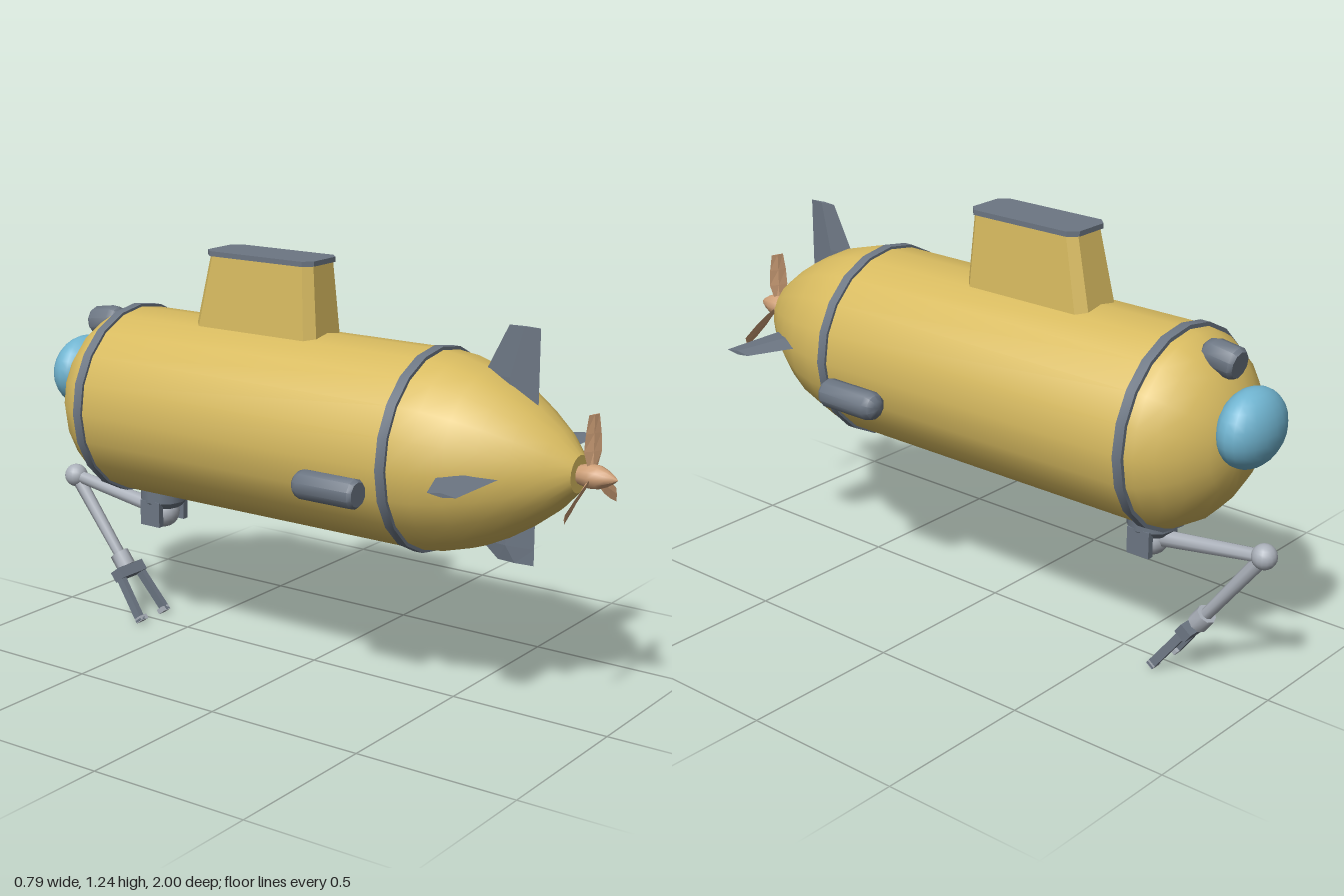
import * as THREE from 'three';
import { toCreasedNormals } from 'three/addons/utils/BufferGeometryUtils.js';

const AXIS = 0.745; // height of the hull centre line

const material = (name, color) => {
  const m = new THREE.MeshStandardMaterial({ color });
  m.name = name;
  return m;
};

// Lathe turned to lie along z, from [radius, z] points with z rising
function turned(points, sides) {
  const g = new THREE.LatheGeometry(points.map(([r, z]) => new THREE.Vector2(r, z)), sides);
  return toCreasedNormals(g.rotateX(Math.PI / 2), 0.7);
}

// Flat-faced solid through matching rings that climb in y, capped at both ends
function loft(rings) {
  const n = rings[0].length, index = [];
  for (let k = 0; k < rings.length - 1; k++) {
    for (let i = 0; i < n; i++) {
      const a = k * n + i, b = k * n + (i + 1) % n;
      index.push(a, b, b + n, a, b + n, a + n);
    }
  }
  const top = (rings.length - 1) * n;
  for (let i = 1; i < n - 1; i++) index.push(0, i + 1, i, top, top + i, top + i + 1);
  const g = new THREE.BufferGeometry();
  g.setAttribute('position', new THREE.Float32BufferAttribute(rings.flat(2), 3));
  g.setIndex(index);
  const flat = g.toNonIndexed();
  flat.computeVertexNormals();
  return flat;
}

// Rectangle with cut corners at height y
function cutRect(y, h, z0, z1, c) {
  return [[h - c, z1], [h, z1 - c], [h, z0 + c], [h - c, z0],
    [c - h, z0], [-h, z0 + c], [-h, z1 - c], [c - h, z1]].map(([x, z]) => [x, y, z]);
}

// Diamond section of a fin at distance r from the centre line
const diamond = (r, lead, trail, t) => {
  const mid = (lead + trail) / 2;
  return [[0, r, trail], [t, r, mid], [0, r, lead], [-t, r, mid]];
};

// Pitched diamond section of a propeller blade
const bladeSection = (r, w, t, pitch) => {
  const c = Math.cos(pitch), s = Math.sin(pitch);
  return [[-t * s, r, t * c], [w * c, r, w * s], [t * s, r, -t * c], [-w * c, r, -w * s]];
};

export function createModel() {
  const yellow = material('hullYellow', 0xd8bb60);
  const grey = material('darkGrey', 0x6c7683);
  const silver = material('silver', 0xabb1ba);
  const blue = material('glassBlue', 0x70b4d0);
  const bronze = material('bronze', 0xcfa078);

  const model = new THREE.Group();
  model.name = 'submarine';
  const add = (name, geometry, mat, x = 0, y = 0, z = 0, parent = model) => {
    const mesh = new THREE.Mesh(geometry, mat);
    mesh.name = name;
    mesh.position.set(x, y, z);
    parent.add(mesh);
    return mesh;
  };
  // Tapered rod between two points
  const rod = (name, a, b, ra, rb, mat, parent = model) => {
    const from = new THREE.Vector3(...a), to = new THREE.Vector3(...b);
    const dir = to.clone().sub(from);
    const g = toCreasedNormals(new THREE.CylinderGeometry(rb, ra, dir.length(), 8), 0.9);
    const mesh = add(name, g, mat, 0, 0, 0, parent);
    mesh.position.copy(from).add(to).multiplyScalar(0.5);
    mesh.quaternion.setFromUnitVectors(new THREE.Vector3(0, 1, 0), dir.normalize());
    return mesh;
  };

  // Hull with blunt nose and pointed tail
  add('hull', turned([[0, -0.885], [0.07, -0.88], [0.135, -0.86], [0.205, -0.81], [0.25, -0.765],
    [0.28, -0.715], [0.29, -0.675], [0.29, 0.43], [0.28, 0.51], [0.255, 0.6], [0.217, 0.68],
    [0.169, 0.755], [0.112, 0.83], [0.053, 0.885], [0, 0.885]], 20), yellow, 0, AXIS, 0);
  for (const z of [-0.675, 0.43]) {
    const ring = [[0.28, z - 0.015], [0.298, z - 0.015], [0.298, z + 0.015], [0.28, z + 0.015]];
    add('hullRing', turned(ring, 20), grey, 0, AXIS, 0);
  }

  // Tower and its roof
  add('tower', loft([cutRect(1.0, 0.088, -0.395, 0.052, 0.028),
    cutRect(1.236, 0.073, -0.342, 0.033, 0.024)]), yellow);
  add('towerRoof', loft([cutRect(1.235, 0.079, -0.35, 0.038, 0.026),
    cutRect(1.25, 0.079, -0.35, 0.038, 0.026)]), grey);

  // Nose window
  add('window', new THREE.SphereGeometry(1, 20, 14), blue, 0, 0.802, -0.9).scale.set(0.13, 0.113, 0.08);

  // Tail fins: angle about the centre line, tip distance, leading and trailing z at the tip
  const fins = [['topFin', 0, 0.385, 0.655, 0.752], ['bottomFin', Math.PI, 0.288, 0.637, 0.752],
    ['leftFin', -Math.PI / 2, 0.393, 0.645, 0.735], ['rightFin', Math.PI / 2, 0.393, 0.645, 0.735]];
  for (const [name, angle, tip, lead, trail] of fins) {
    add(name, loft([diamond(0.14, 0.58, trail, 0.011), diamond(0.24, 0.58, trail, 0.011),
      diamond(tip, lead, trail, 0.006)]), grey, 0, AXIS, 0).rotation.z = angle;
  }

  // Propeller
  const propeller = new THREE.Group();
  propeller.name = 'propeller';
  propeller.position.set(0, AXIS, 0.922);
  model.add(propeller);
  add('propellerHub', turned([[0.024, -0.045], [0.03, -0.025], [0.035, 0], [0.033, 0.022],
    [0.023, 0.046], [0.011, 0.066], [0, 0.078]], 12), bronze, 0, 0, 0, propeller);
  for (let i = 0; i < 3; i++) {
    add('propellerBlade', loft([bladeSection(0.015, 0.012, 0.005, 0.6), bladeSection(0.07, 0.029, 0.004, 0.5),
      bladeSection(0.12, 0.027, 0.003, 0.4), bladeSection(0.172, 0.02, 0.002, 0.3)]),
    bronze, 0, 0, 0, propeller).rotation.z = i * Math.PI * 2 / 3;
  }

  // Side pods and nose lamp, rounded at one end
  const pod = (r, length) => turned([[0, 0], [r * 0.5, r * 0.09], [r * 0.85, r * 0.38], [r, r * 0.8],
    [r, length - 0.012], [r * 0.82, length], [0, length]], 10);
  for (const side of [-1, 1]) add('sidePod', pod(0.044, 0.216), grey, side * 0.324, 0.677, 0.165);
  const lamp = add('noseLamp', pod(0.047, 0.12), grey, 0, 0.985, -0.735);
  lamp.rotation.set(-0.15, Math.PI, 0);

  // Arm mount under the hull
  add('armMount', new THREE.CylinderGeometry(0.074, 0.074, 0.045, 12), grey, 0, 0.447, -0.588);
  add('armMountBase', new THREE.CylinderGeometry(0.074, 0.058, 0.02, 12), grey, 0, 0.415, -0.588);
  for (const side of [-1, 1]) {
    add('mountCheek', new THREE.BoxGeometry(0.02, 0.08, 0.076), grey, side * 0.06, 0.39, -0.588);
  }
  add('shoulder', new THREE.SphereGeometry(0.05, 16, 12), silver, 0, 0.383, -0.588);

  // Two-part arm
  const elbow = [0, 0.44, -0.962];
  rod('upperArm', [0, 0.388, -0.6], elbow, 0.026, 0.02, silver);
  add('elbow', new THREE.SphereGeometry(0.037, 16, 12), silver, ...elbow);

  // Forearm and gripper reach along local -y
  const forearm = new THREE.Group();
  forearm.name = 'forearm';
  forearm.position.set(...elbow);
  forearm.rotation.x = -Math.atan2(0.603, 0.798);
  model.add(forearm);
  rod('forearmRod', [0, 0, 0], [0, -0.31, 0], 0.022, 0.018, silver, forearm);
  rod('wrist', [0, -0.295, 0], [0, -0.345, 0], 0.031, 0.031, silver, forearm);
  add('palm', new THREE.BoxGeometry(0.115, 0.036, 0.042), grey, 0, -0.362, 0, forearm);
  for (const side of [-1, 1]) {
    const finger = add('finger', new THREE.BoxGeometry(0.019, 0.155, 0.026), grey, side * 0.055, -0.452, 0, forearm);
    finger.rotation.z = side * 0.1;
    add('fingerTip', new THREE.BoxGeometry(0.033, 0.016, 0.026), silver, side * 0.055, -0.523, 0, forearm);
  }
  return model;
}
